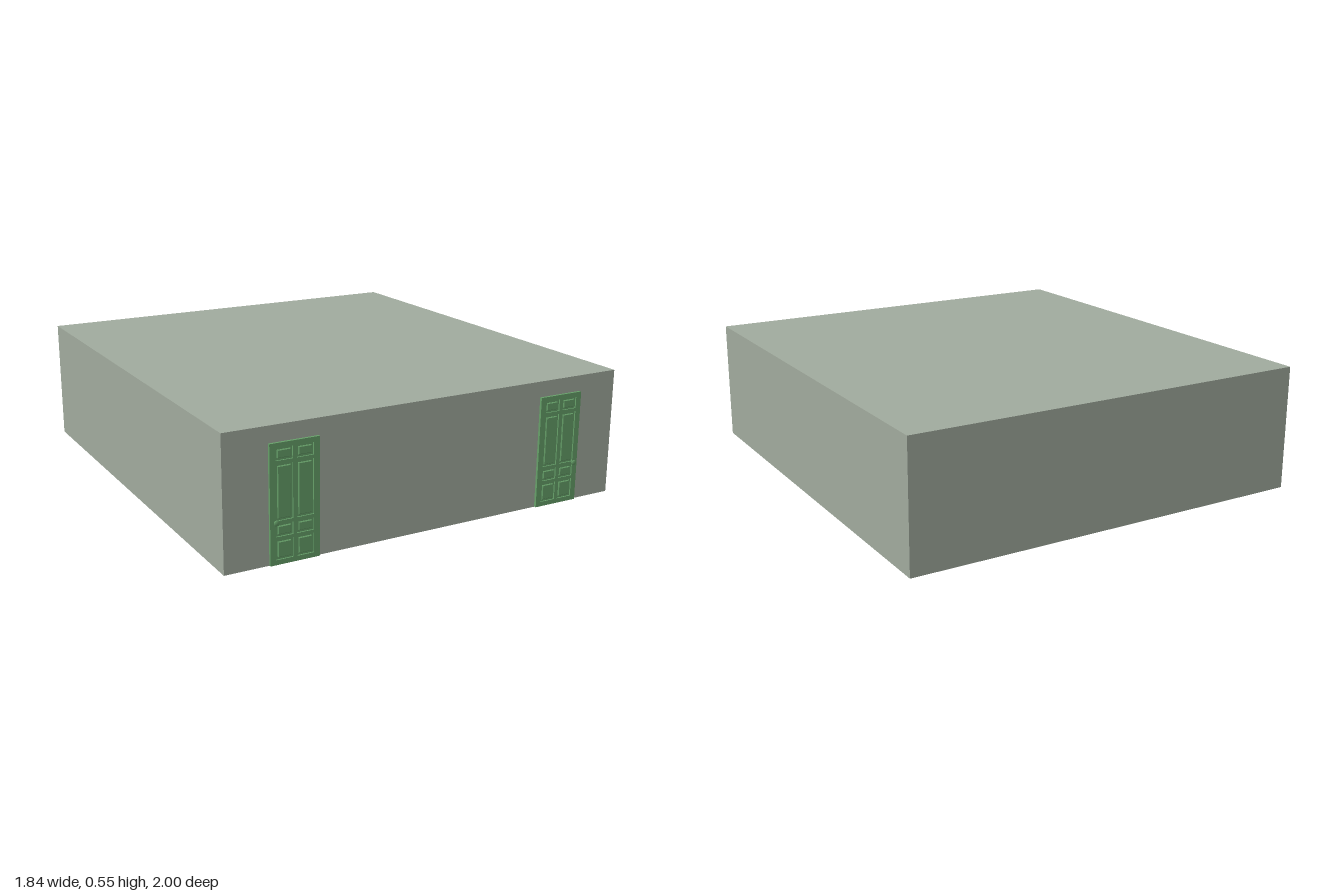
import * as THREE from 'three';

const wallMat = new THREE.MeshStandardMaterial({ color: 0xa1ab9e });
const doorMat = new THREE.MeshStandardMaterial({ color: 0x66a069 });

const FRONT = 0.977; // z of the front wall
const DOOR_W = 0.21, DOOR_H = 0.483, DOOR_D = 0.011;
const COLUMNS = [[-0.08, -0.008], [0.008, 0.08]];
const ROWS = [[0.02, 0.1], [0.113, 0.163], [0.177, 0.4], [0.414, 0.463]];

function rect(path, x0, y0, x1, y1) {
  path.moveTo(x0, y0);
  path.lineTo(x1, y0);
  path.lineTo(x1, y1);
  path.lineTo(x0, y1);
  path.closePath();
  return path;
}

function addMesh(parent, name, geometry, material, x = 0, y = 0, z = 0) {
  const mesh = new THREE.Mesh(geometry, material);
  mesh.name = name;
  mesh.position.set(x, y, z);
  parent.add(mesh);
  return mesh;
}

// Panelled door; side is +1 when the knob is toward +x
function createDoor(name, side) {
  const door = new THREE.Group();
  door.name = name;

  // Frame of stiles and rails with panel openings
  const frame = rect(new THREE.Shape(), -DOOR_W / 2, 0, DOOR_W / 2, DOOR_H);
  for (const [x0, x1] of COLUMNS)
    for (const [y0, y1] of ROWS)
      frame.holes.push(rect(new THREE.Path(), x0, y0, x1, y1));
  addMesh(door, 'doorFrame',
    new THREE.ExtrudeGeometry(frame, { depth: DOOR_D, bevelEnabled: false }), doorMat);

  // Thin backing behind the openings
  addMesh(door, 'doorBacking',
    new THREE.BoxGeometry(DOOR_W - 0.01, DOOR_H - 0.01, 0.005), doorMat, 0, DOOR_H / 2, 0.0025);

  // Raised panels with sloped edges, set inside each opening
  const gap = 0.011;
  for (const [x0, x1] of COLUMNS)
    for (const [y0, y1] of ROWS) {
      const panel = rect(new THREE.Shape(), x0 + gap, y0 + gap, x1 - gap, y1 - gap);
      addMesh(door, 'doorPanel', new THREE.ExtrudeGeometry(panel, {
        depth: 0.002, bevelThickness: 0.003, bevelSize: 0.003, bevelSegments: 1,
      }), doorMat, 0, 0, 0.005);
    }

  // Knob turned on a short stem
  const profile = [[0.008, 0], [0.008, 0.002], [0.004, 0.003], [0.004, 0.005],
    [0.009, 0.006], [0.012, 0.008], [0.011, 0.0105], [0.006, 0.012], [0, 0.0125]]
    .map(([r, h]) => new THREE.Vector2(r, h));
  const knob = addMesh(door, 'doorKnob', new THREE.LatheGeometry(profile, 20), doorMat,
    side * 0.082, 0.172, DOOR_D - 0.0005);
  knob.rotation.x = Math.PI / 2;

  door.position.set(side * 0.628, 0.001, FRONT);
  return door;
}

export function createModel() {
  const model = new THREE.Group();
  model.name = 'building';
  const depth = FRONT + 1;
  addMesh(model, 'buildingBody', new THREE.BoxGeometry(1.84, 0.552, depth), wallMat,
    0, 0.276, FRONT - depth / 2);
  model.add(createDoor('leftDoor', 1), createDoor('rightDoor', -1));
  return model;
}
